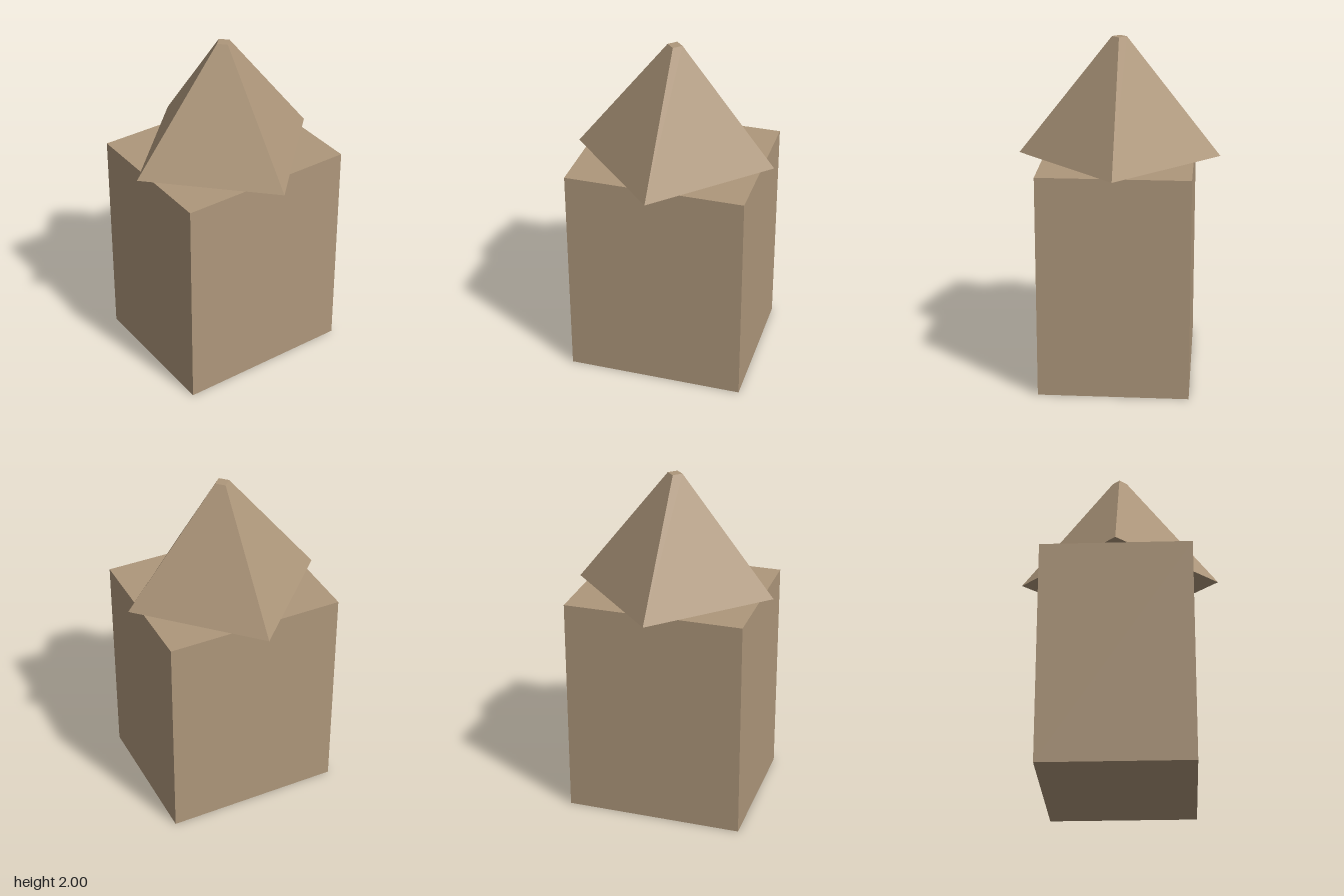
import * as THREE from 'three';

const WALL_HEIGHT = 1.306;
const TOTAL_HEIGHT = 2;

export function createModel() {
  const group = new THREE.Group();
  group.name = 'hut';
  const material = new THREE.MeshStandardMaterial({ color: 0xae977b, flatShading: true });

  const add = (name, geometry, y) => {
    const mesh = new THREE.Mesh(geometry, material);
    mesh.name = name;
    mesh.position.y = y;
    group.add(mesh);
  };

  // Rectangular body
  add('body', new THREE.BoxGeometry(1.042, WALL_HEIGHT, 0.87), WALL_HEIGHT / 2);

  // Four-sided roof with a cut-off tip, its corners on the x and z axes
  const roofHeight = TOTAL_HEIGHT - WALL_HEIGHT;
  add('roof', new THREE.CylinderGeometry(0.043, 0.587, roofHeight, 4), WALL_HEIGHT + roofHeight / 2);

  return group;
}
